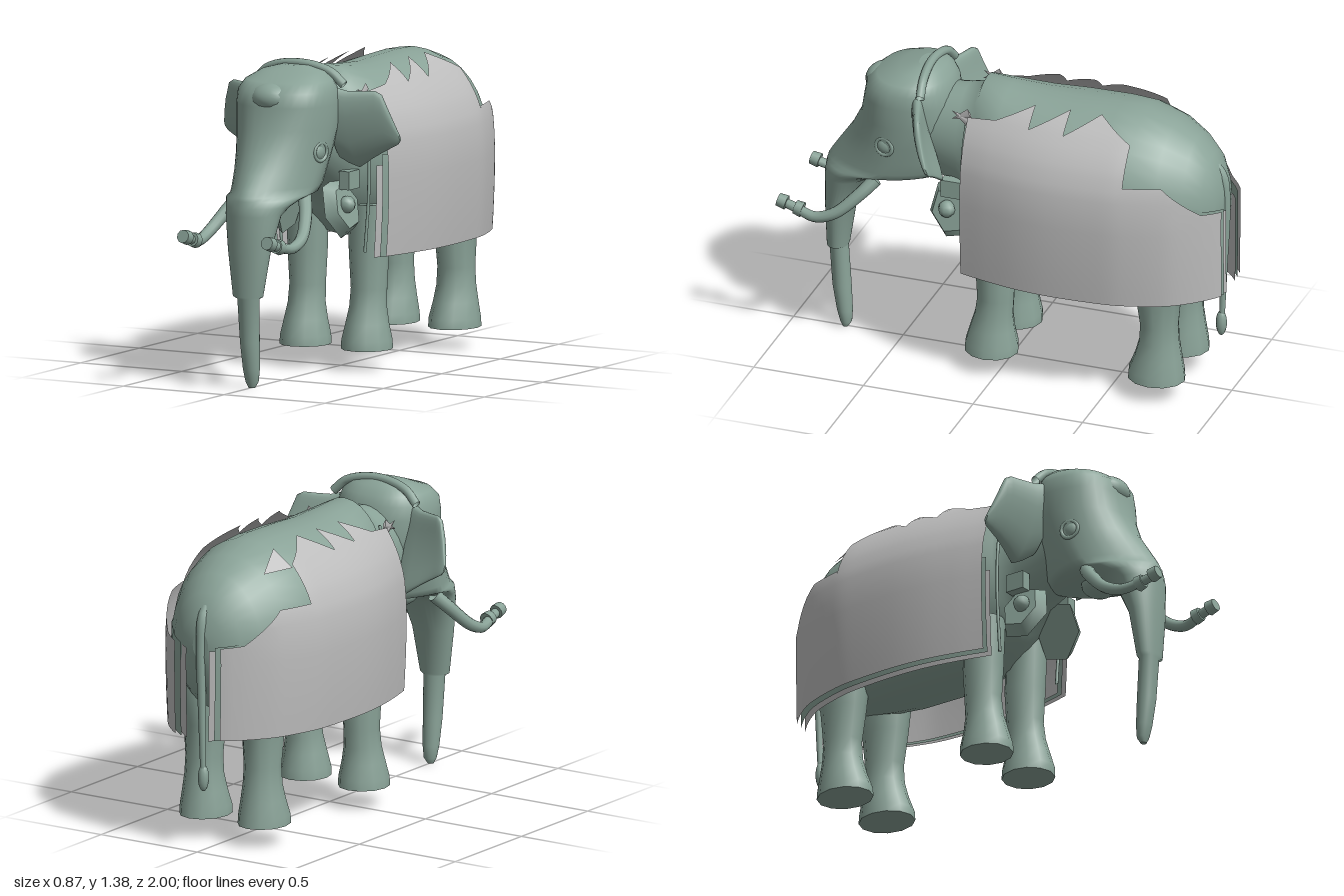
import * as THREE from 'three';
import { mergeVertices } from 'three/addons/utils/BufferGeometryUtils.js';

const hide = new THREE.MeshStandardMaterial({ color: 0x8aa398, side: THREE.DoubleSide });
hide.name = 'grey green';
const fabric = new THREE.MeshStandardMaterial({ color: 0xbcbcbc, side: THREE.DoubleSide });
fabric.name = 'light grey';

const V = (x, y, z) => new THREE.Vector3(x, y, z);

// smooth lookup in a list of [key, value] pairs with rising keys
function lookup(table, k) {
  const n = table.length - 1;
  if (k <= table[0][0]) return table[0][1];
  if (k >= table[n][0]) return table[n][1];
  const i = table.findIndex(p => k <= p[0]);
  const slope = j => {
    const a = table[Math.max(j - 1, 0)], b = table[Math.min(j + 1, n)];
    return (b[1] - a[1]) / (b[0] - a[0]);
  };
  const [a, va] = table[i - 1], [b, vb] = table[i], h = b - a, t = (k - a) / h;
  const u = t * t * (3 - 2 * t);
  return va * (1 - u) + vb * u + h * t * (1 - t) * ((1 - t) * slope(i - 1) - t * slope(i));
}

function indexed(pos, idx) {
  const g = new THREE.BufferGeometry();
  g.setAttribute('position', new THREE.Float32BufferAttribute(pos, 3));
  g.setIndex(idx);
  return g;
}

// closed skin over rings; each ring runs counterclockwise about the path
function loft(rings) {
  const n = rings[0].length, pos = [], idx = [];
  rings.forEach(r => r.forEach(p => pos.push(p.x, p.y, p.z)));
  for (let i = 0; i < rings.length - 1; i++) {
    for (let j = 0; j < n; j++) {
      const a = i * n + j, b = i * n + (j + 1) % n;
      idx.push(a, b, b + n, a, b + n, a + n);
    }
  }
  [rings[0], rings[rings.length - 1]].forEach((r, end) => {
    const base = pos.length / 3;
    const c = r.reduce((s, p) => s.add(p), V(0, 0, 0)).divideScalar(n);
    r.forEach(p => pos.push(p.x, p.y, p.z));
    pos.push(c.x, c.y, c.z);
    for (let j = 0; j < n; j++) {
      const a = base + j, b = base + (j + 1) % n;
      if (end) idx.push(a, b, base + n); else idx.push(b, a, base + n);
    }
  });
  const g = indexed(pos, idx);
  g.computeVertexNormals();
  return g;
}

// ring of n points, superellipse of power e
function ring(n, e, place) {
  return Array.from({ length: n }, (_, j) => {
    const a = j / n * Math.PI * 2, c = Math.cos(a), s = Math.sin(a);
    return place(Math.sign(c) * Math.abs(c) ** (2 / e), Math.sign(s) * Math.abs(s) ** (2 / e));
  });
}

// tube along a curve, tapering from radius r0 to r1
function tube(pts, r0, r1 = r0) {
  const curve = new THREE.CatmullRomCurve3(pts);
  const g = new THREE.TubeGeometry(curve, 24, r0, 10);
  const p = g.attributes.position, v = V(0, 0, 0);
  for (let i = 0; i < p.count; i++) {
    const t = g.attributes.uv.getX(i), c = curve.getPointAt(t);
    v.fromBufferAttribute(p, i).sub(c).multiplyScalar(1 + (r1 / r0 - 1) * t).add(c);
    p.setXYZ(i, v.x, v.y, v.z);
  }
  return g;
}

// cloth: half width along z, its narrowing with height, and the jagged top edge
const plan = [[-0.995, 0.12], [-0.97, 0.155], [-0.9, 0.228], [-0.8, 0.3], [-0.62, 0.363],
  [-0.5, 0.38], [-0.3, 0.387], [-0.15, 0.376], [0, 0.347], [0.13, 0.312]];
const drape = [[0.47, 0.95], [0.65, 0.985], [0.85, 1], [1, 0.97], [1.1, 0.88], [1.17, 0.77],
  [1.23, 0.64], [1.27, 0.53], [1.31, 0.38]];
const topEdge = [[0.13, 1.22], [0, 1.235], [-0.16, 1.305], [-0.16, 1.23], [-0.32, 1.31], [-0.32, 1.23],
  [-0.46, 1.31], [-0.62, 1.23], [-0.62, 1.07], [-0.78, 1.07], [-0.93, 0.93], [-0.995, 0.92]];
const levels = [0.57, 0.65, 0.75, 0.85, 0.92, 1, 1.05, 1.1, 1.135, 1.17, 1.2, 1.23, 1.25, 1.27, 1.29, 1.31];

function clothLayer(side, inset, hem, cap) {
  const cols = [];
  topEdge.forEach(([z, t], i) => {
    cols.push([z, t]);
    const next = topEdge[i + 1];
    if (next && next[0] !== z) for (let k = 1; k < 6; k++)
      cols.push([z + (next[0] - z) * k / 6, t + (next[1] - t) * k / 6]);
  });
  const rows = [hem, ...levels], n = rows.length, pos = [], idx = [];
  cols.forEach(([z, t]) => rows.forEach(level => {
    const y = Math.min(level, t, cap);
    pos.push(side * (lookup(plan, z) * lookup(drape, y) - inset), y, z);
  }));
  for (let i = 0; i < cols.length - 1; i++) {
    if (cols[i][0] === cols[i + 1][0]) continue;
    for (let r = 0; r < n - 1; r++) {
      const a = i * n + r, b = a + n;
      if (side > 0) idx.push(a, b, b + 1, a, b + 1, a + 1);
      else idx.push(a, b + 1, b, a, a + 1, b + 1);
    }
  }
  const g = mergeVertices(indexed(pos, idx), 1e-5);
  g.computeVertexNormals();
  return g;
}

export function createModel() {
  const model = new THREE.Group();
  const add = (name, geo, mat = hide, x = 0, y = 0, z = 0) => {
    const m = new THREE.Mesh(geo, mat);
    m.name = name;
    m.position.set(x, y, z);
    model.add(m);
    return m;
  };

  // body and neck: [z, top, bottom, half width]
  const body = [[-0.975, 0.97, 0.85, 0.04], [-0.96, 1.05, 0.74, 0.11], [-0.92, 1.135, 0.66, 0.175],
    [-0.85, 1.205, 0.6, 0.235], [-0.75, 1.265, 0.56, 0.293], [-0.62, 1.305, 0.54, 0.333],
    [-0.5, 1.31, 0.53, 0.35], [-0.3, 1.305, 0.53, 0.355], [-0.15, 1.3, 0.54, 0.335],
    [0, 1.31, 0.57, 0.29], [0.115, 1.325, 0.66, 0.215], [0.135, 1.285, 0.69, 0.2],
    [0.2, 1.27, 0.78, 0.18], [0.36, 1.25, 0.86, 0.16]];
  add('body', loft(body.map(([z, t, b, w]) =>
    ring(32, 2, (c, s) => V(w * c, (t + b) / 2 + (t - b) / 2 * s, z)))));

  // head running down into the trunk: [y, front z, back z, half width, squareness]
  const head = [[1.355, 0.42, 0.35, 0.06, 2.2], [1.335, 0.5, 0.31, 0.14, 2.3], [1.3, 0.6, 0.28, 0.19, 2.3],
    [1.26, 0.645, 0.26, 0.212, 2.3], [1.2, 0.655, 0.25, 0.218, 2.3], [1.1, 0.675, 0.24, 0.215, 2.1],
    [1, 0.725, 0.24, 0.205, 1.8], [0.92, 0.78, 0.25, 0.195, 1.65], [0.86, 0.82, 0.265, 0.188, 1.6],
    [0.83, 0.838, 0.3, 0.182, 1.6], [0.815, 0.842, 0.46, 0.172, 1.65], [0.785, 0.847, 0.57, 0.145, 1.75],
    [0.75, 0.85, 0.645, 0.128, 1.85], [0.6, 0.847, 0.718, 0.1, 2], [0.4, 0.842, 0.748, 0.07, 2],
    [0.39, 0.832, 0.752, 0.05, 2], [0.2, 0.82, 0.738, 0.043, 2], [0.08, 0.8, 0.732, 0.037, 2],
    [0.025, 0.785, 0.735, 0.029, 2], [0, 0.775, 0.75, 0.014, 2]];
  add('headAndTrunk', loft(head.map(([y, f, b, w, e]) =>
    ring(36, e, (c, s) => V(w * c, y, (f + b) / 2 + (f - b) / 2 * s)))));
  add('foreheadBump', new THREE.SphereGeometry(1, 20, 14), hide, 0, 1.235, 0.585).scale.set(0.1, 0.065, 0.08);
  add('headBand', tube([V(-0.215, 1.275, 0.345), V(-0.15, 1.33, 0.355), V(0, 1.358, 0.365),
    V(0.15, 1.33, 0.355), V(0.215, 1.275, 0.345)], 0.02));
  add('chin', new THREE.SphereGeometry(1, 16, 10), hide, 0, 0.81, 0.53).scale.set(0.08, 0.055, 0.08);

  // tail with tuft
  add('tail', tube([V(0, 1.09, -0.905), V(0, 1.03, -0.955), V(0, 0.9, -0.97),
    V(0, 0.6, -0.963), V(0, 0.35, -0.955)], 0.026, 0.012));
  add('tailTuft', new THREE.SphereGeometry(1, 10, 10), hide, 0, 0.32, -0.952).scale.set(0.024, 0.06, 0.024);

  // legs: [y, half width, centre z, half depth]
  const front = [[0.72, 0.09, 0.03, 0.09], [0.5, 0.085, 0.022, 0.09], [0.35, 0.077, 0.022, 0.082],
    [0.27, 0.08, 0.03, 0.085], [0.2, 0.092, 0.037, 0.1], [0.13, 0.107, 0.04, 0.118], [0.09, 0.11, 0.04, 0.118]];
  const back = [[0.92, 0.11, -0.74, 0.15], [0.72, 0.11, -0.74, 0.15], [0.5, 0.087, -0.72, 0.105],
    [0.35, 0.08, -0.725, 0.085], [0.27, 0.084, -0.725, 0.09], [0.2, 0.095, -0.72, 0.105],
    [0.13, 0.108, -0.712, 0.125], [0.09, 0.11, -0.712, 0.128]];

  // ear slices: [x, bottom, top, half thickness]
  const earRows = [[0.17, 0.95, 1.27, 0.032], [0.2, 0.925, 1.262, 0.032], [0.235, 0.907, 1.252, 0.03],
    [0.3, 0.95, 1.252, 0.025], [0.35, 0.98, 1.254, 0.021], [0.375, 0.993, 1.24, 0.019],
    [0.4, 1.007, 1.17, 0.016], [0.42, 1.018, 1.105, 0.012], [0.433, 1.035, 1.06, 0.006]];

  for (const s of [1, -1]) {
    const side = s > 0 ? 'left' : 'right';

    for (const [name, rows] of [['FrontLeg', front], ['BackLeg', back]])
      add(side + name, loft(rows.map(([y, w, z, d]) =>
        ring(12, 2, (c, t) => V(s * 0.152 + w * c, y, z + d * t)))));

    // ear: a thick flap curving back towards its lower tip
    add(side + 'Ear', loft(earRows.map(([x, b, t, d]) => ring(28, 2.8, (c, k) => {
      const y = (t + b) / 2 + (t - b) / 2 * c;
      return V(s * x, y, 0.365 - (1.26 - y) ** 2 * 0.9 - (x - 0.2) * 0.35 + s * d * k);
    }))));

    // eye with lid ring
    add(side + 'Eye', new THREE.SphereGeometry(0.038, 14, 10), hide, s * 0.185, 1.005, 0.515).scale.x = 0.6;
    const lid = add(side + 'EyeLid', new THREE.TorusGeometry(0.039, 0.009, 8, 20), hide, s * 0.197, 1.005, 0.515);
    lid.rotation.y = Math.PI / 2 - s * 0.2;

    // tusk with rings and tip knob
    add(side + 'Tusk', tube([V(s * 0.15, 0.815, 0.57), V(s * 0.19, 0.75, 0.63), V(s * 0.228, 0.66, 0.73),
      V(s * 0.23, 0.627, 0.82), V(s * 0.212, 0.645, 0.91), V(s * 0.203, 0.665, 0.985)], 0.031, 0.02));
    for (const [y, z, r, h] of [[0.643, 0.9, 0.034, 0.035], [0.665, 0.975, 0.032, 0.04]])
      add(side + 'TuskRing', new THREE.CylinderGeometry(r * 0.9, r, h, 10), hide, s * 0.208, y, z)
        .rotation.x = Math.PI / 2 - 0.25;

    // neck pendant: broad hexagonal plate with a bead
    const plate = add(side + 'Pendant', new THREE.CylinderGeometry(0.085, 0.115, 0.05, 6), hide, s * 0.14, 0.725, 0.225);
    plate.rotation.set(0.25, 0, -s * Math.PI / 2 + s * 0.25);
    plate.scale.x = 1.2;
    add(side + 'PendantBead', new THREE.SphereGeometry(0.038, 8, 6), hide, s * 0.17, 0.74, 0.24);
    add(side + 'PendantKnot', new THREE.BoxGeometry(0.05, 0.08, 0.09), hide, s * 0.165, 0.845, 0.215);

    // layered cloth: outer, lining and inner sheet
    add(side + 'Cloth', clothLayer(s, 0, 0.51, 2), fabric);
    add(side + 'ClothLining', clothLayer(s, 0.03, 0.505, 0.95));
    add(side + 'ClothInner', clothLayer(s, 0.06, 0.5, 0.9), fabric);

    // strap hanging along the cloth's front edge, and its bow
    add(side + 'Strap', tube([V(s * 0.16, 1.22, 0.145), V(s * 0.215, 1.05, 0.15),
      V(s * 0.225, 0.8, 0.15), V(s * 0.206, 0.525, 0.15)], 0.007));
    for (const t of [0.4, -0.5]) {
      const bow = add(side + 'Bow', new THREE.ConeGeometry(0.025, 0.09, 4), fabric, s * 0.2, 1.215, 0.165);
      bow.rotation.x = Math.PI / 2 + t;
      bow.scale.x = 0.3;
    }
  }

  // loose cloth corner lying on the back
  const scrap = indexed([-0.135, 1.285, -0.62, -0.175, 1.205, -0.75, -0.235, 1.215, -0.62], [0, 1, 2]);
  scrap.computeVertexNormals();
  add('clothCorner', scrap, fabric);
  return model;
}
